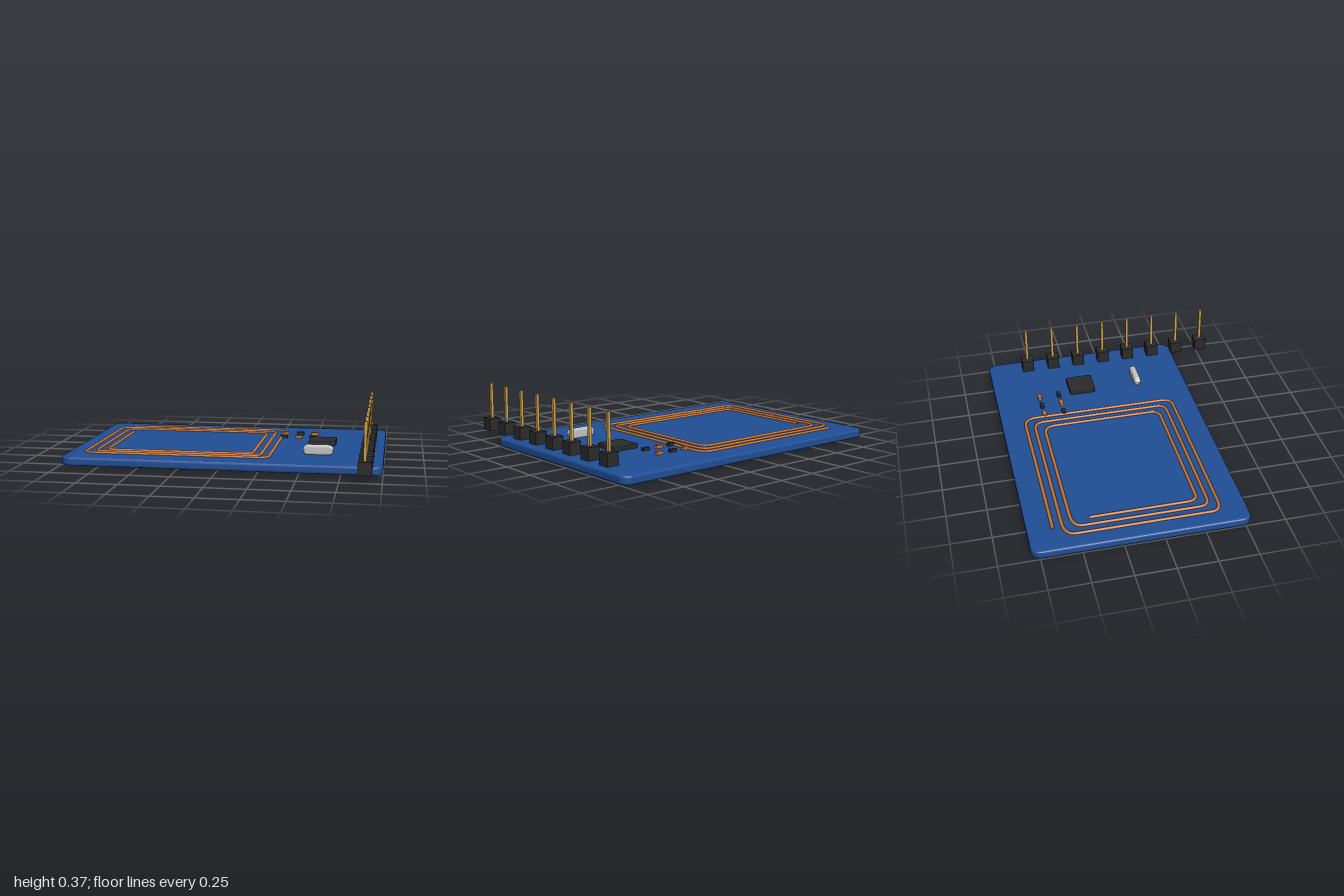
import * as THREE from 'three';

const mat = (name, color) => {
  const m = new THREE.MeshStandardMaterial({ color });
  m.name = name;
  return m;
};

// Rounded rectangle centred on the origin
function roundedRect(w, h, r) {
  const s = new THREE.Shape(), x = w / 2 - r, y = h / 2 - r;
  s.absarc(x, y, r, 0, Math.PI / 2);
  s.absarc(-x, y, r, Math.PI / 2, Math.PI);
  s.absarc(-x, -y, r, Math.PI, Math.PI * 1.5);
  s.absarc(x, -y, r, Math.PI * 1.5, Math.PI * 2);
  s.closePath();
  return s;
}

// Rounded plate of full size w x h x d with bevelled rims, centred on the origin
function plate(w, h, d, r, bevel, bevelSegments) {
  const g = new THREE.ExtrudeGeometry(roundedRect(w - 2 * bevel, h - 2 * bevel, r - bevel), {
    depth: d - 2 * bevel, bevelThickness: bevel, bevelSize: bevel, bevelSegments, curveSegments: 6,
  });
  return g.translate(0, 0, -d / 2 + bevel);
}

export function createModel() {
  const model = new THREE.Group();
  const blue = mat('board blue', 0x1f4e96);
  const copper = mat('copper', 0xc87533);
  const black = mat('component black', 0x2b2b2b);
  const gold = mat('pin gold', 0xc9a24d);
  const silver = mat('crystal silver', 0xc4c4c4);
  const TOP = 0.055;

  const add = (name, geometry, material, x, y, z) => {
    const m = new THREE.Mesh(geometry, material);
    m.name = name;
    m.position.set(x, y, z);
    model.add(m);
    return m;
  };

  // Circuit board
  add('board', plate(2, 1.34, TOP, 0.06, 0.014, 3).rotateX(-Math.PI / 2), blue, 0, TOP / 2, -0.13);

  // Antenna coil: inward spiral, each corner as [x, z, cut before, cut after]
  const corners = [
    [0.29, -0.645, 0.07, 0.09], [0.29, 0.378, 0.07, 0.06],
    [-0.89, 0.378, 0.09, 0.06], [-0.89, -0.587, 0.07, 0.11],
    [0.232, -0.587, 0.06, 0.07], [0.232, 0.32, 0.06, 0.06],
    [-0.83, 0.32, 0.07, 0.06], [-0.83, -0.528, 0.06, 0.11],
    [0.175, -0.528, 0.07, 0.07], [0.175, 0.262, 0.06, 0.06],
    [-0.77, 0.262, 0.06, 0.06],
  ];
  const start = new THREE.Vector3(-0.825, 0, -0.645);
  const end = new THREE.Vector3(-0.77, 0, -0.415);
  const pts = corners.map(([x, z]) => new THREE.Vector3(x, 0, z));
  const path = new THREE.CurvePath();
  let last = start;
  pts.forEach((p, i) => {
    const toward = (q, d) => p.clone().add(q.clone().sub(p).setLength(d));
    const a = toward(pts[i - 1] || start, corners[i][2]);
    const b = toward(pts[i + 1] || end, corners[i][3]);
    path.add(new THREE.LineCurve3(last, a));
    path.add(new THREE.QuadraticBezierCurve3(a, p, b));
    last = b;
  });
  path.add(new THREE.LineCurve3(last, end));
  copper.side = THREE.DoubleSide;
  add('antennaCoil', new THREE.TubeGeometry(path, 420, 0.0108, 8, false), copper, 0, 0.056, 0);

  // Controller chip
  add('chip', plate(0.178, 0.178, 0.03, 0.012, 0.004, 2).rotateX(-Math.PI / 2), black, 0.589, TOP + 0.013, -0.199);

  // Crystal can
  add('crystal', plate(0.196, 0.066, 0.042, 0.034, 0.014, 3), silver, 0.588, 0.084, 0.195);

  // Small surface parts in alternating colours
  for (let row = 0; row < 2; row++) {
    for (let i = 0; i < 3; i++) {
      add('surfacePart', new THREE.BoxGeometry(0.05, 0.022, 0.025),
        (row + i) % 2 ? black : copper, 0.31 + i * 0.1, TOP + 0.008, -0.503 + row * 0.134);
    }
  }

  // Pin header
  for (let i = 0; i < 8; i++) {
    const z = -0.525 + i * 0.1833;
    add('headerBlock', new THREE.BoxGeometry(0.08, 0.08, 0.08), black, 0.9, 0.095, z);
    add('headerPin', new THREE.BoxGeometry(0.018, 0.26, 0.018), gold, 0.9, 0.235, z);
  }

  return model;
}
